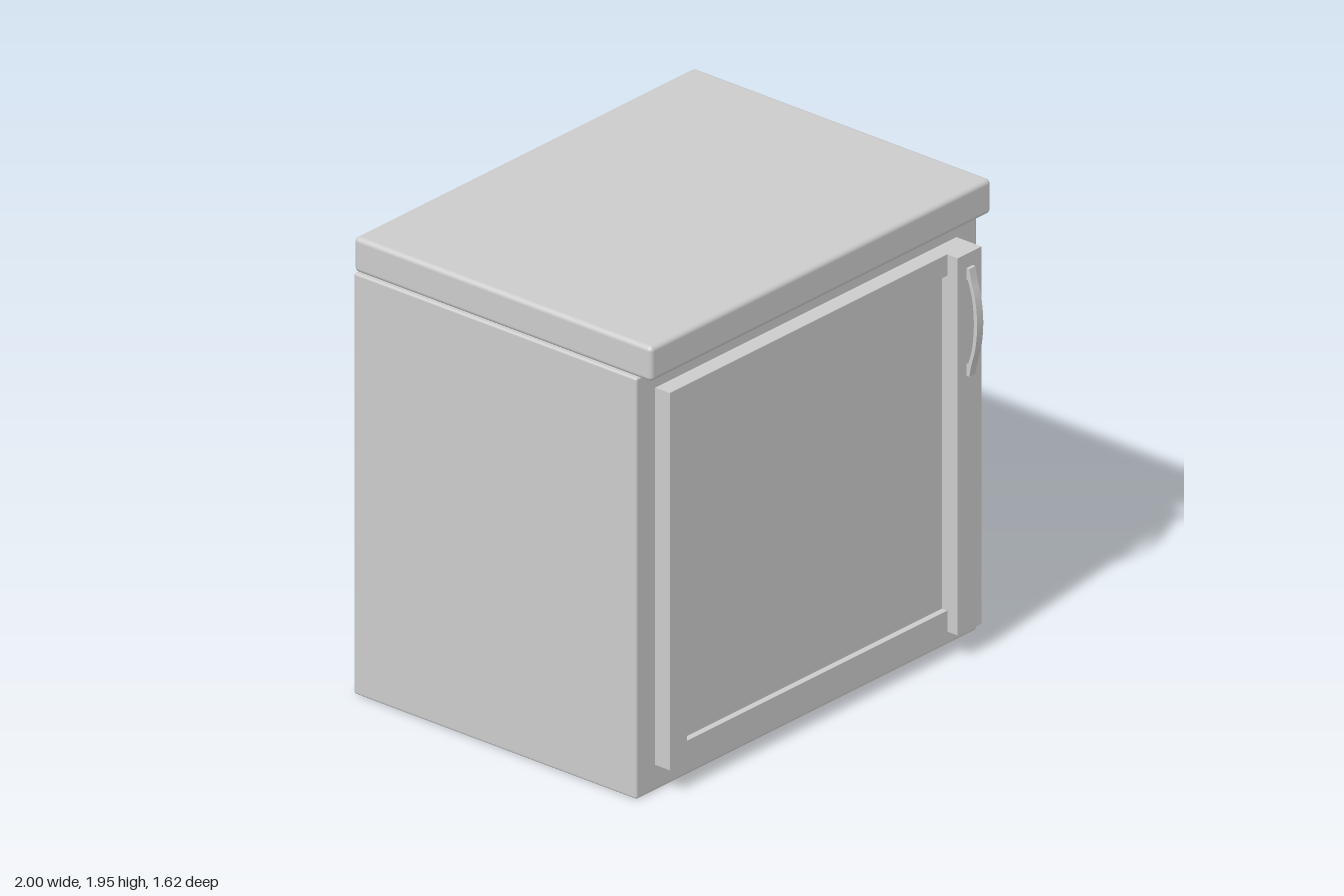
import * as THREE from 'three';
import { RoundedBoxGeometry } from 'three/addons/geometries/RoundedBoxGeometry.js';

const material = new THREE.MeshStandardMaterial({ color: 0xcccccc });

// Box given by its two extreme corners, with optional rounded edges
function box(name, [x0, y0, z0], [x1, y1, z1], radius = 0) {
  const size = [x1 - x0, y1 - y0, z1 - z0];
  const geometry = radius
    ? new RoundedBoxGeometry(...size, 4, radius)
    : new THREE.BoxGeometry(...size);
  const mesh = new THREE.Mesh(geometry, material);
  mesh.position.set((x0 + x1) / 2, (y0 + y1) / 2, (z0 + z1) / 2);
  mesh.name = name;
  return mesh;
}

function rectangle(PathType, x0, y0, x1, y1) {
  return new PathType([
    new THREE.Vector2(x0, y0), new THREE.Vector2(x1, y0),
    new THREE.Vector2(x1, y1), new THREE.Vector2(x0, y1),
  ]);
}

// Door frame with a rectangular opening for the sunken panel
function doorFrame() {
  const shape = rectangle(THREE.Shape, -0.89, 0.11, 0.75, 1.72);
  shape.holes.push(rectangle(THREE.Path, -0.79, 0.2, 0.745, 1.63));
  const geometry = new THREE.ExtrudeGeometry(shape, { depth: 0.085, bevelEnabled: false });
  const mesh = new THREE.Mesh(geometry, material);
  mesh.position.z = 0.62;
  mesh.name = 'doorFrame';
  return mesh;
}

// Bowed strap handle: side profile in (z, y), extruded across x
function handle() {
  const width = 0.036;
  const outer = [[0.772, 1.2], [0.782, 1.25], [0.803, 1.33], [0.812, 1.43], [0.803, 1.53], [0.782, 1.61], [0.772, 1.66]];
  const inner = [[0.758, 1.66], [0.758, 1.61], [0.768, 1.6], [0.787, 1.53], [0.795, 1.43], [0.787, 1.33], [0.768, 1.26], [0.758, 1.25], [0.758, 1.2]];
  const toPoint = ([z, y]) => new THREE.Vector2(z, y);
  const shape = new THREE.Shape();
  shape.moveTo(...outer[0]);
  shape.splineThru(outer.slice(1).map(toPoint));
  shape.lineTo(...inner[0]);
  shape.lineTo(...inner[1]);
  shape.splineThru(inner.slice(2, 8).map(toPoint));
  shape.lineTo(...inner[8]);
  const geometry = new THREE.ExtrudeGeometry(shape, { depth: width, bevelEnabled: false, curveSegments: 6 });
  geometry.rotateY(-Math.PI / 2); // profile x becomes +z, depth runs to -x
  const mesh = new THREE.Mesh(geometry, material);
  mesh.position.x = 0.81 + width / 2;
  mesh.name = 'handle';
  return mesh;
}

export function createModel() {
  const model = new THREE.Group();
  model.name = 'cabinet';

  // Carcass and overhanging worktop
  model.add(box('body', [-1, 0, -0.81], [1, 1.797, 0.63], 0.01));
  model.add(box('worktop', [-1, 1.802, -0.81], [1, 1.95, 0.705], 0.02));

  // Door: frame, sunken panel and the thicker stile carrying the handle
  const door = new THREE.Group();
  door.name = 'door';
  door.add(doorFrame());
  door.add(box('doorPanel', [-0.8, 0.19, 0.62], [0.75, 1.64, 0.678]));
  door.add(box('handleStile', [0.74, 0.11, 0.62], [0.88, 1.72, 0.758]));
  door.add(handle());
  model.add(door);

  return model;
}
